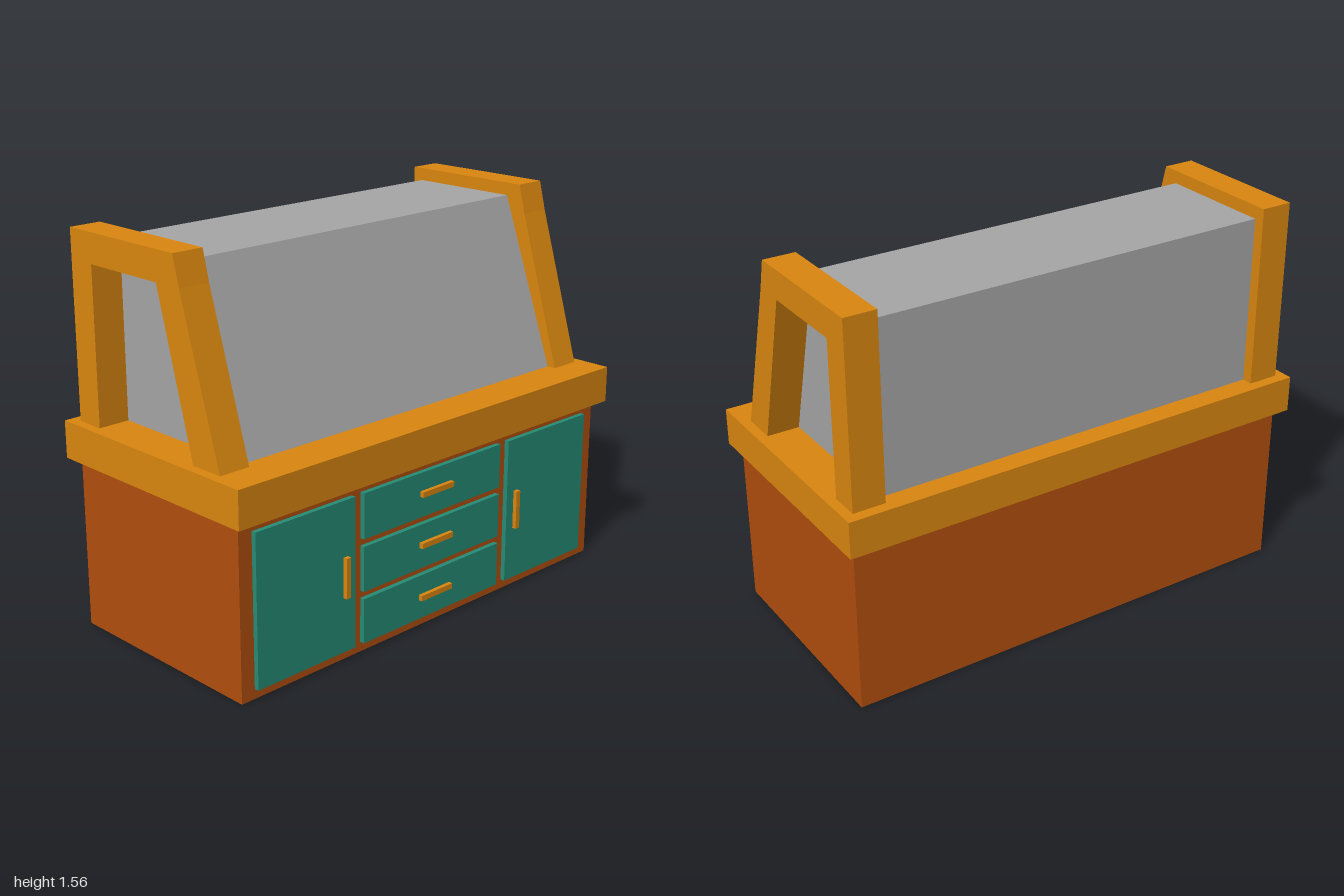
import * as THREE from 'three';

const mat = (name, color) => {
  const m = new THREE.MeshStandardMaterial({ color, side: THREE.DoubleSide });
  m.name = name;
  return m;
};

export function createModel() {
  const root = new THREE.Group();
  root.name = 'servingCounter';
  const orange = mat('orangeWood', 0xda870f);
  const brown = mat('brownWood', 0xb24e0d);
  const teal = mat('tealPanel', 0x268c76);
  const grey = mat('greyCover', 0xa6a6a6);

  const add = (name, geometry, material, parent = root) => {
    const mesh = new THREE.Mesh(geometry, material);
    mesh.name = name;
    parent.add(mesh);
    return mesh;
  };

  // Box between two corners, keeping only the listed faces (0..5 = +x -x +y -y +z -z)
  const box = (x0, x1, y0, y1, z0, z1, faces = [0, 1, 2, 3, 4, 5]) => {
    const g = new THREE.BoxGeometry(x1 - x0, y1 - y0, z1 - z0);
    g.translate((x0 + x1) / 2, (y0 + y1) / 2, (z0 + z1) / 2);
    const idx = Array.from(g.index.array);
    g.setIndex(faces.flatMap((f) => idx.slice(f * 6, f * 6 + 6)));
    g.clearGroups();
    return g;
  };

  // Flat sheet facing +z with rectangular holes; rectangles are [x0, x1, y0, y1]
  const corners = ([x0, x1, y0, y1]) =>
    [[x0, y0], [x1, y0], [x1, y1], [x0, y1]].map(([x, y]) => new THREE.Vector2(x, y));
  const sheet = (rect, holes, z) => {
    const s = new THREE.Shape(corners(rect));
    holes.forEach((h) => s.holes.push(new THREE.Path(corners(h).reverse())));
    return new THREE.ShapeGeometry(s).translate(0, 0, z);
  };

  // Doors and drawers with their handles
  const panels = [
    { name: 'rightDoor', rect: [-0.905, -0.43, 0.04, 0.64], handle: [-0.49, -0.468, 0.26, 0.42] },
    { name: 'leftDoor', rect: [0.415, 0.895, 0.04, 0.64], handle: [0.455, 0.477, 0.26, 0.42] },
    { name: 'topDrawer', rect: [-0.385, 0.365, 0.46, 0.64], handle: [-0.09, 0.08, 0.545, 0.567] },
    { name: 'middleDrawer', rect: [-0.385, 0.365, 0.25, 0.43], handle: [-0.09, 0.08, 0.337, 0.359] },
    { name: 'bottomDrawer', rect: [-0.385, 0.365, 0.04, 0.22], handle: [-0.09, 0.08, 0.12, 0.142] },
  ];

  // Cabinet: hollow, open underneath, front wall cut out behind each panel
  const cabinet = [-0.965, 0.965, 0, 0.68];
  add('cabinetWalls', box(...cabinet, -0.45, 0.45, [0, 1, 5]), brown);
  add('cabinetFront', sheet(cabinet, panels.map((p) => p.rect), 0.45), brown);

  for (const { name, rect, handle } of panels) {
    const g = new THREE.Group();
    g.name = name;
    root.add(g);
    add('panelEdges', box(...rect, 0.45, 0.47, [0, 1, 2, 3]), teal, g);
    add('panelFace', sheet(rect, [handle], 0.47), teal, g);
    add('panelLining', sheet(rect, [handle], 0.467), brown, g);
    add('handle', box(...handle, 0.47, 0.487, [0, 1, 2, 3, 4]), orange, g);
    add('handleLining', sheet(handle, [], 0.484), brown, g);
  }

  // Worktop
  add('worktop', box(-1, 1, 0.68, 0.828, -0.497, 0.497), orange);

  // Prism along x from a [z, y] outline
  const prism = (outline, x0, x1) => {
    const s = new THREE.Shape(outline.map(([z, y]) => new THREE.Vector2(-z, y)));
    const g = new THREE.ExtrudeGeometry(s, { depth: x1 - x0, bevelEnabled: false });
    return g.rotateY(Math.PI / 2).translate(x0, 0, 0);
  };

  // Sloping cover
  add('cover', prism([[0.32, 0.828], [0.072, 1.51], [-0.408, 1.51], [-0.408, 0.828]], -0.83, 0.83), grey);

  // End frames: sloping front leg, top rail and upright back leg
  const frame = [
    [0.357, 0.828], [0.168, 1.445], [0.138, 1.562], [-0.452, 1.562],
    [-0.452, 0.828], [-0.332, 0.828], [-0.332, 1.445], [0.042, 1.445], [0.213, 0.828],
  ];
  add('leftFrame', prism(frame, 0.83, 0.96), orange);
  add('rightFrame', prism(frame, -0.96, -0.83), orange);

  return root;
}
